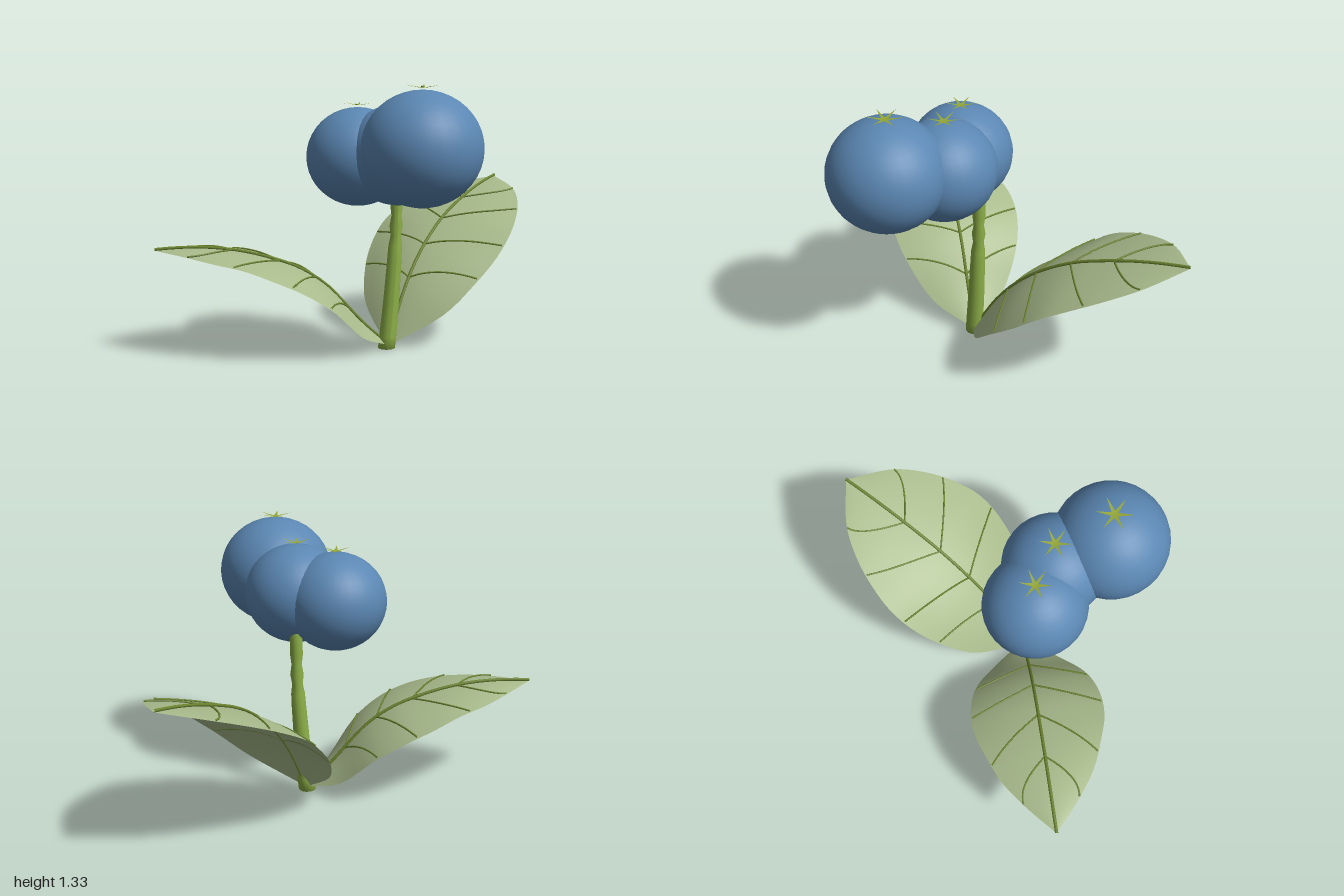
import * as THREE from 'three';

const mat = (name, color, side = THREE.FrontSide) => {
  const m = new THREE.MeshStandardMaterial({ color, side });
  m.name = name;
  return m;
};

function addMesh(parent, name, geometry, material) {
  const mesh = new THREE.Mesh(geometry, material);
  mesh.name = name;
  parent.add(mesh);
  return mesh;
}

// Leaf blade with midrib and side veins. Tables run evenly from base to tip.
function makeLeaf(name, base, tip, heights, widths, drops, mats) {
  const leaf = new THREE.Group();
  leaf.name = name;
  const dx = tip[0] - base[0], dz = tip[1] - base[1], len = Math.hypot(dx, dz);
  const table = new THREE.CatmullRomCurve3(
    heights.map((h, i) => new THREE.Vector3(h, widths[i], drops[i])), false, 'catmullrom', 0.5);

  // u: base to tip, v: -1 to 1 across; the sides arch down from the midrib
  const surface = (u, v, lift = 0) => {
    const p = table.getPoint(u);
    const t = v * Math.max(p.y, 0);
    return new THREE.Vector3(
      base[0] + dx * u + (dz / len) * t,
      p.x - p.z * v * v + lift,
      base[1] + dz * u - (dx / len) * t);
  };

  const nu = 32, nv = 12, pos = [], idx = [];
  for (let i = 0; i <= nu; i++) {
    for (let j = 0; j <= nv; j++) {
      pos.push(...surface(i / nu, (j / nv) * 2 - 1).toArray());
      if (i < nu && j < nv) {
        const a = i * (nv + 1) + j, b = a + nv + 1;
        idx.push(a, b, a + 1, b, b + 1, a + 1);
      }
    }
  }
  const blade = new THREE.BufferGeometry();
  blade.setAttribute('position', new THREE.Float32BufferAttribute(pos, 3));
  blade.setIndex(idx);
  blade.computeVertexNormals();
  addMesh(leaf, 'leafBlade', blade, mats.leaf);

  const vein = (veinName, u0, u1, v1, radius) => {
    const pts = [];
    for (let k = 0; k <= 12; k++) {
      const f = k / 12;
      pts.push(surface(u0 + (u1 - u0) * f, v1 * f, radius * 0.8));
    }
    addMesh(leaf, veinName,
      new THREE.TubeGeometry(new THREE.CatmullRomCurve3(pts), 20, radius, 6), mats.vein);
  };
  vein('midrib', 0.02, 1, 0, 0.008);
  for (const [u0, u1] of [[0.17, 0.27], [0.31, 0.43], [0.47, 0.67], [0.67, 0.86]]) {
    for (const side of [-1, 1]) vein('sideVein', u0, u1, side * 0.98, 0.0045);
  }
  return leaf;
}

// Six-pointed crown with tips curling up
function makeCrown(radius) {
  const pts = [];
  for (let i = 0; i < 12; i++) {
    const a = (i / 12) * Math.PI * 2 + 0.1, r = i % 2 ? radius * 0.2 : radius;
    pts.push(new THREE.Vector2(Math.cos(a) * r, Math.sin(a) * r));
  }
  const g = new THREE.ShapeGeometry(new THREE.Shape(pts));
  g.rotateX(-Math.PI / 2);
  const p = g.attributes.position;
  for (let i = 0; i < p.count; i++) {
    p.setY(i, 0.012 * (Math.hypot(p.getX(i), p.getZ(i)) / radius) ** 2);
  }
  g.computeVertexNormals();
  return g;
}

export function createModel() {
  const model = new THREE.Group();
  model.name = 'berrySprig';
  const mats = {
    berry: mat('berryBlue', 0x5b87b3),
    leaf: mat('leafGreen', 0xa9bb8c, THREE.DoubleSide),
    vein: mat('veinGreen', 0x6c8530),
    stem: mat('stemGreen', 0x8db048),
    crown: mat('crownGreen', 0x93a636, THREE.DoubleSide),
  };

  // Stem: turned profile with knots near the top, bent sideways
  const profile = [[0, 0], [0.043, 0], [0.043, 0.06], [0.04, 0.25], [0.036, 0.45], [0.034, 0.52],
    [0.026, 0.57], [0.033, 0.62], [0.025, 0.67], [0.031, 0.72], [0.03, 0.78], [0.03, 0.9], [0, 0.9]];
  const stem = new THREE.LatheGeometry(profile.map(([r, y]) => new THREE.Vector2(r, y)), 14);
  const sp = stem.attributes.position;
  for (let i = 0; i < sp.count; i++) {
    const k = Math.min(sp.getY(i) / 0.65, 1);
    sp.setX(i, sp.getX(i) + 0.118 + 0.05 * k * (1.5 - 0.5 * k));
  }
  stem.computeVertexNormals();
  addMesh(model, 'stem', stem, mats.stem);

  // Berries: x, y, z, width radius, height radius, crown radius
  for (const [x, y, z, r, h, c] of [
    [-0.035, 0.97, 0.01, 0.25, 0.239, 0.078],
    [0.12, 0.988, 0.155, 0.25, 0.242, 0.08],
    [0.14, 1.038, 0.44, 0.281, 0.268, 0.09]]) {
    const berry = new THREE.Group();
    berry.name = 'berry';
    berry.position.set(x, y, z);
    addMesh(berry, 'berryBody', new THREE.SphereGeometry(r, 32, 20).scale(1, h / r, 1), mats.berry);
    addMesh(berry, 'berryCrown', makeCrown(c), mats.crown).position.y = h + 0.009;
    model.add(berry);
  }

  // Leaves
  model.add(makeLeaf('leftLeaf', [0.13, 0], [0.98, -0.66],
    [0.02, 0.26, 0.42, 0.53, 0.61, 0.665, 0.71, 0.745, 0.77],
    [0.02, 0.235, 0.335, 0.385, 0.392, 0.355, 0.29, 0.185, 0],
    [0, 0.09, 0.105, 0.095, 0.065, 0.045, 0.03, 0.015, 0], mats));
  model.add(makeLeaf('rightLeaf', [0.12, 0], [-1, -0.2],
    [0.02, 0.15, 0.31, 0.41, 0.465, 0.503, 0.523, 0.528, 0.52],
    [0.02, 0.18, 0.285, 0.33, 0.33, 0.285, 0.225, 0.125, 0],
    [0, 0.05, 0.06, 0.06, 0.05, 0.04, 0.035, 0.02, 0], mats));

  return model;
}
